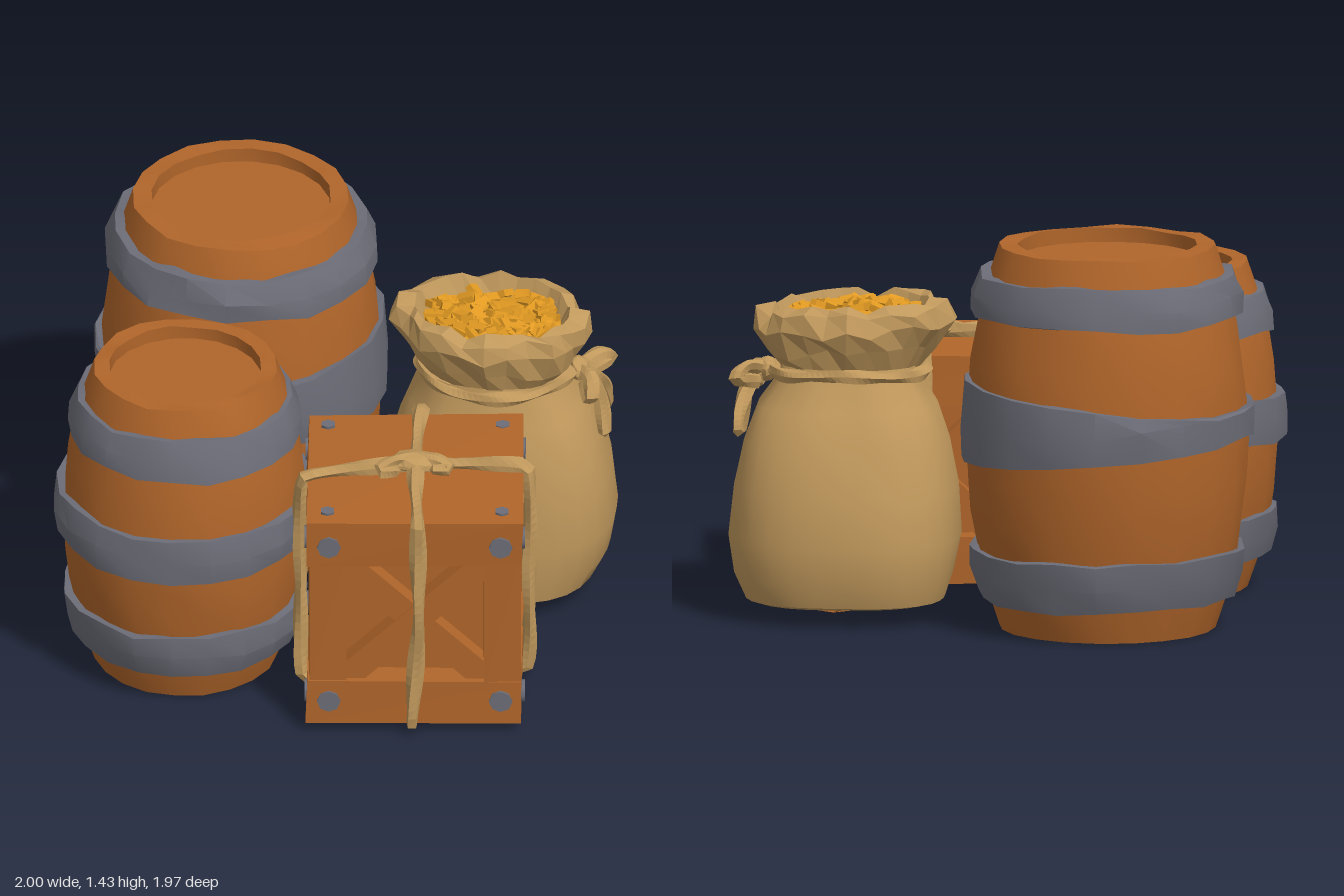
import * as THREE from 'three';
import { mergeGeometries, toCreasedNormals } from 'three/addons/utils/BufferGeometryUtils.js';

const mat = (name, color) => Object.assign(new THREE.MeshStandardMaterial({ color }), { name });
const V = (x, y, z) => new THREE.Vector3(x, y, z);

// Repeatable value in -1..1 from a position
function hash(x, y, z) {
  const r = (v) => Math.round(v * 500) / 500 + 0;
  const s = Math.sin(r(x) * 12.99 + r(y) * 78.23 + r(z) * 37.72) * 4375.85;
  return (s - Math.floor(s)) * 2 - 1;
}

// Moves every vertex by a rule
function warp(geo, rule) {
  const p = geo.attributes.position, v = V(0, 0, 0);
  for (let i = 0; i < p.count; i++) {
    v.fromBufferAttribute(p, i);
    rule(v, i);
    p.setXYZ(i, v.x, v.y, v.z);
  }
  return geo;
}

const rough = (geo, amount) => warp(geo, (v) => {
  const { x, y, z } = v;
  v.set(x + amount * hash(x, y, z), y + amount * hash(y, z, x), z + amount * hash(z, x, y));
});

function flat(geo) {
  const g = geo.index ? geo.toNonIndexed() : geo;
  g.computeVertexNormals();
  return g;
}

function add(parent, name, geo, material, x = 0, y = 0, z = 0) {
  const m = new THREE.Mesh(geo, material);
  m.name = name;
  m.position.set(x, y, z);
  parent.add(m);
  return m;
}

const lathe = (pts) => new THREE.LatheGeometry(pts.map((p) => new THREE.Vector2(p[0], p[1])), 20);

// Twisted rope along a list of points
function rope(points, r, closed = false, n = 60, tension = 0.15) {
  const curve = new THREE.CatmullRomCurve3(points, closed, 'catmullrom', tension);
  const sides = 6, geo = new THREE.TubeGeometry(curve, n, r, sides, closed);
  const turns = Math.round(n / 14);
  warp(geo, (v, i) => {
    const ring = Math.floor(i / (sides + 1)), a = ((i % (sides + 1)) / sides) * Math.PI * 2;
    const c = curve.getPointAt(ring / n);
    let k = 0.95 + 0.24 * Math.cos(2 * a - (ring / n) * turns * Math.PI * 2);
    if (!closed && (ring === n || ring === 0)) k = 0.02;
    v.sub(c).multiplyScalar(k).add(c);
  });
  return flat(geo);
}

// Skin over rounded-square rings [y, rx, rz, cx, cz], with optional ruffles
function skin(rings, n, square, ruffle) {
  const pos = [], idx = [];
  rings.forEach(([y, rx, rz, cx, cz], j) => {
    for (let i = 0; i < n; i++) {
      const a = (i / n) * Math.PI * 2, s = Math.sin(a), c = Math.cos(a);
      const k = Math.pow(Math.abs(s) ** square + Math.abs(c) ** square, -1 / square);
      const w = k * (1 + ruffle(a, j, i));
      pos.push(cx + rx * s * w, y, cz + rz * c * w);
      if (j < rings.length - 1) {
        const p = j * n + i, q = j * n + ((i + 1) % n);
        idx.push(p, q, p + n, q, q + n, p + n);
      }
    }
  });
  const geo = new THREE.BufferGeometry();
  geo.setAttribute('position', new THREE.Float32BufferAttribute(pos, 3));
  geo.setIndex(idx);
  return geo;
}

export function createModel() {
  const wood = mat('wood', 0xb0652a), iron = mat('iron', 0x6c6d77);
  const cloth = mat('burlap', 0xc0985c), gold = mat('gold', 0xe29a22);
  cloth.side = THREE.DoubleSide;
  const root = new THREE.Group();
  root.name = 'storagePile';

  const group = (name, x = 0, z = 0) => {
    const g = new THREE.Group();
    g.name = name;
    g.position.set(x, 0, z);
    root.add(g);
    return g;
  };

  // Barrels: bulging body with recessed ends, and three dented hoops [y0, y1, r0, r1, flare]
  function barrel(name, x, z, h, rEnd, rMid, hoops) {
    const g = group(name, x, z);
    const bulge = (t) => rEnd + (rMid - rEnd) * Math.pow(Math.sin(t * Math.PI), 0.8);
    const inner = rEnd * 0.83;
    const pts = [[0, 0.05], [inner, 0.05], [inner, 0]];
    for (let i = 0; i <= 10; i++) pts.push([bulge(i / 10), (h * i) / 10]);
    pts.push([inner, h], [inner, h - 0.05], [0, h - 0.05]);
    const body = warp(lathe(pts), (v) => {
      const r = Math.hypot(v.x, v.z);
      if (r > inner + 0.01) {
        const k = 1 + 0.01 * hash(v.x, 0, v.z);
        v.x *= k; v.z *= k;
      }
      if (r > 0.1 && v.y > h - 0.02) v.y += 0.006 * hash(v.x, v.y, v.z);
    });
    add(g, 'barrelBody', toCreasedNormals(body, 0.6), wood);
    for (const [y0, y1, r0, r1, flare] of hoops) {
      const ym = (y0 + y1) / 2;
      const hoop = lathe([[r0 - 0.07, y0], [r0, y0], [(r0 + r1) / 2 + 0.012, ym], [r1, y1], [r1 - 0.07, y1]]);
      warp(hoop, (v) => {
        const d = hash(v.x, v.y, v.z), e = hash(v.z, v.x, v.y), r = Math.hypot(v.x, v.z);
        if (v.y !== ym) v.y += Math.sign(v.y - ym) * flare * v.x / r + 0.012 * d;
        v.x *= 1 + 0.016 * e; v.z *= 1 + 0.016 * e;
      });
      add(g, 'barrelHoop', toCreasedNormals(hoop, 0.5), iron);
    }
    // Plank battens across the recessed bottom
    for (let i = -1; i <= 1; i++) {
      const b = add(g, 'bottomPlank', new THREE.BoxGeometry(rEnd * 1.3, 0.02, rEnd * 0.36), wood, 0, 0.045, 0);
      b.rotation.y = 0.5;
      b.translateZ(i * rEnd * 0.42);
    }
  }
  barrel('tallBarrel', -0.41, -0.455, 1.42, 0.398, 0.518,
    [[0.12, 0.3, 0.47, 0.512, 0], [0.68, 0.88, 0.537, 0.532, 0.05], [1.17, 1.32, 0.502, 0.468, 0]]);
  barrel('shortBarrel', -0.515, 0.425, 1.21, 0.337, 0.45,
    [[0.13, 0.3, 0.418, 0.45, 0], [0.56, 0.73, 0.474, 0.47, 0], [0.96, 1.11, 0.43, 0.395, 0]]);

  // Crate: lid and base slabs, corner posts, recessed core with crossed braces
  const crate = group('crate', 0.345, 0.525);
  crate.rotation.y = 0.11;
  const box = (w, h, d) => flat(rough(new THREE.BoxGeometry(w, h, d), 0.006));
  add(crate, 'crateLid', box(0.79, 0.185, 0.78), wood, 0, 0.795, 0);
  add(crate, 'crateBase', box(0.79, 0.175, 0.78), wood, 0, 0.125, 0);
  add(crate, 'crateCore', new THREE.BoxGeometry(0.58, 0.6, 0.58), wood, 0, 0.46, 0);
  for (const sx of [-1, 1]) for (const sz of [-1, 1]) {
    add(crate, 'cornerPost', box(0.13, 0.56, 0.13), wood, sx * 0.32, 0.455, sz * 0.315);
    add(crate, 'lidBolt', new THREE.CylinderGeometry(0.028, 0.028, 0.02, 6), iron, sx * 0.32, 0.885, sz * 0.31);
  }
  const bolt = new THREE.CylinderGeometry(0.043, 0.043, 0.02, 8).rotateX(Math.PI / 2);
  for (let k = 0; k < 4; k++) {
    const side = new THREE.Group();
    side.name = 'crateSide';
    side.rotation.y = (k * Math.PI) / 2;
    crate.add(side);
    const face = k % 2 ? 0.395 : 0.39;
    for (const s of [-1, 1]) {
      const brace = add(side, 'crossBrace', new THREE.BoxGeometry(0.74, 0.1, 0.1), wood, 0, 0.455, 0.315 + s * 0.003);
      brace.rotation.z = s * 0.76;
      for (const y of [0.13, 0.785]) add(side, 'sideBolt', bolt, iron, s * 0.315, y, face - 0.001);
    }
  }

  // Ropes tied around the crate
  const loop = [[-0.408, 0.9], [0, 0.91], [0.408, 0.9], [0.418, 0.5], [0.405, 0.045], [0, 0.04], [-0.405, 0.045], [-0.418, 0.5]];
  const sway = [0.02, 0, 0.01, 0.015, -0.01, 0, 0.01, -0.015];
  add(crate, 'crateRope', rope(loop.map(([z, y], i) => V(sway[i], y, z)), 0.028, true, 96), cloth);
  add(crate, 'crateRope', rope(loop.map(([x, y], i) => V(x, y, x < -0.3 ? 0.06 + sway[i] : sway[i])), 0.028, true, 96), cloth);
  const knot = flat(rough(new THREE.IcosahedronGeometry(1, 1), 0.12).scale(0.095, 0.035, 0.06));
  add(crate, 'crateKnot', knot, cloth, 0, 0.92, 0);
  for (const [x, z] of [[-0.13, 0.06], [0.13, 0.05]]) {
    add(crate, 'knotLoop', rope([V(0, 0.925, 0), V(x * 0.6, 0.935, z * 0.4), V(x, 0.915, z), V(x * 0.4, 0.915, z)], 0.026, false, 16, 0.5), cloth);
  }

  // Sack: smooth squarish body, closed bottom and worn patch underneath
  const sack = group('sack');
  const body = skin([
    [0.06, 0.01, 0.01, 0.57, -0.26], [0.06, 0.32, 0.31, 0.57, -0.26], [0.075, 0.365, 0.36, 0.565, -0.265],
    [0.16, 0.4, 0.38, 0.57, -0.27], [0.3, 0.425, 0.385, 0.57, -0.27], [0.48, 0.41, 0.36, 0.57, -0.265],
    [0.65, 0.375, 0.325, 0.57, -0.25], [0.78, 0.325, 0.28, 0.565, -0.24], [0.87, 0.265, 0.235, 0.56, -0.225],
    [0.93, 0.25, 0.22, 0.555, -0.22]], 32, 2.7,
  (a, j) => (j > 6 ? 0.015 * Math.cos(a * 9) : 0.012 * Math.sin(a * 3 + j)));
  add(sack, 'sackBody', toCreasedNormals(body, 0.8), cloth);
  const patch = rough(new THREE.CylinderGeometry(0.25, 0.25, 0.04, 14), 0.03).scale(1, 0.15, 1);
  add(sack, 'bottomPatch', flat(patch), wood, 0.57, 0.054, -0.26);

  // Gathered mouth with creased folds and a broad turned-in lip
  const mouth = skin([
    [0.91, 0.25, 0.215, 0.555, -0.22], [0.99, 0.31, 0.25, 0.55, -0.22], [1.07, 0.355, 0.275, 0.545, -0.22],
    [1.135, 0.335, 0.26, 0.545, -0.22], [1.15, 0.285, 0.22, 0.545, -0.22], [1.06, 0.245, 0.18, 0.545, -0.22]],
  26, 2.1, (a, j, i) => (j > 0 && j < 4 ? 0.06 * hash(i, j, 1) + 0.03 * Math.cos(a * 8) : 0));
  warp(mouth, (v) => {
    if (v.y > 0.95) v.y += -0.05 * (v.x - 0.545) + 0.022 * hash(v.x, 0.3, v.z);
  });
  add(sack, 'sackMouth', flat(mouth), cloth);

  // Heap of gold pieces
  const heap = new THREE.SphereGeometry(1, 16, 6, 0, Math.PI * 2, 0, Math.PI / 2).scale(0.255, 0.055, 0.19);
  add(sack, 'goldHeap', flat(heap), gold, 0.55, 1.075, -0.22);
  let seed = 7;
  const rand = () => (seed = (seed * 16807) % 2147483647) / 2147483647;
  const pieces = [];
  for (let i = 0; i < 85; i++) {
    const r = Math.sqrt(rand()), a = rand() * Math.PI * 2;
    const g = new THREE.BoxGeometry(0.045 + 0.03 * rand(), 0.025, 0.035 + 0.02 * rand());
    g.rotateX(rand() * 1.2 - 0.6).rotateZ(rand() * 1.2 - 0.6).rotateY(rand() * 6.28);
    const x = 0.235 * r * Math.cos(a), z = 0.17 * r * Math.sin(a);
    pieces.push(g.translate(0.55 + x, 1.135 - 0.03 * r * r - 0.05 * x + 0.012 * rand(), -0.22 + z));
  }
  add(sack, 'goldPieces', mergeGeometries(pieces), gold);

  // Neck cord with a bow hanging on the left side
  const ring = [];
  for (let i = 0; i < 16; i++) {
    const a = (i / 16) * Math.PI * 2;
    ring.push(V(0.56 + 0.28 * Math.cos(a), 0.905 + 0.008 * Math.sin(a * 3), -0.225 + 0.245 * Math.sin(a)));
  }
  add(sack, 'neckCord', rope(ring, 0.024, true, 80, 0.5), cloth);
  add(sack, 'neckKnot', flat(rough(new THREE.IcosahedronGeometry(1, 1), 0.12).scale(0.04, 0.045, 0.055)), cloth, 0.86, 0.9, -0.24);
  const strands = [
    [[0.86, 0.9, -0.24], [0.92, 0.86, -0.23], [0.95, 0.76, -0.21], [0.965, 0.64, -0.19]],
    [[0.86, 0.9, -0.25], [0.92, 0.85, -0.28], [0.95, 0.76, -0.34], [0.955, 0.67, -0.39]],
    [[0.86, 0.9, -0.23], [0.91, 0.9, -0.17], [0.92, 0.83, -0.13], [0.88, 0.87, -0.22]],
    [[0.86, 0.9, -0.25], [0.93, 0.92, -0.32], [0.96, 0.88, -0.37], [0.88, 0.86, -0.27]]];
  for (const t of strands) add(sack, 'bowStrand', rope(t.map((p) => V(...p)), 0.026, false, 16, 0.5), cloth);

  return root;
}
